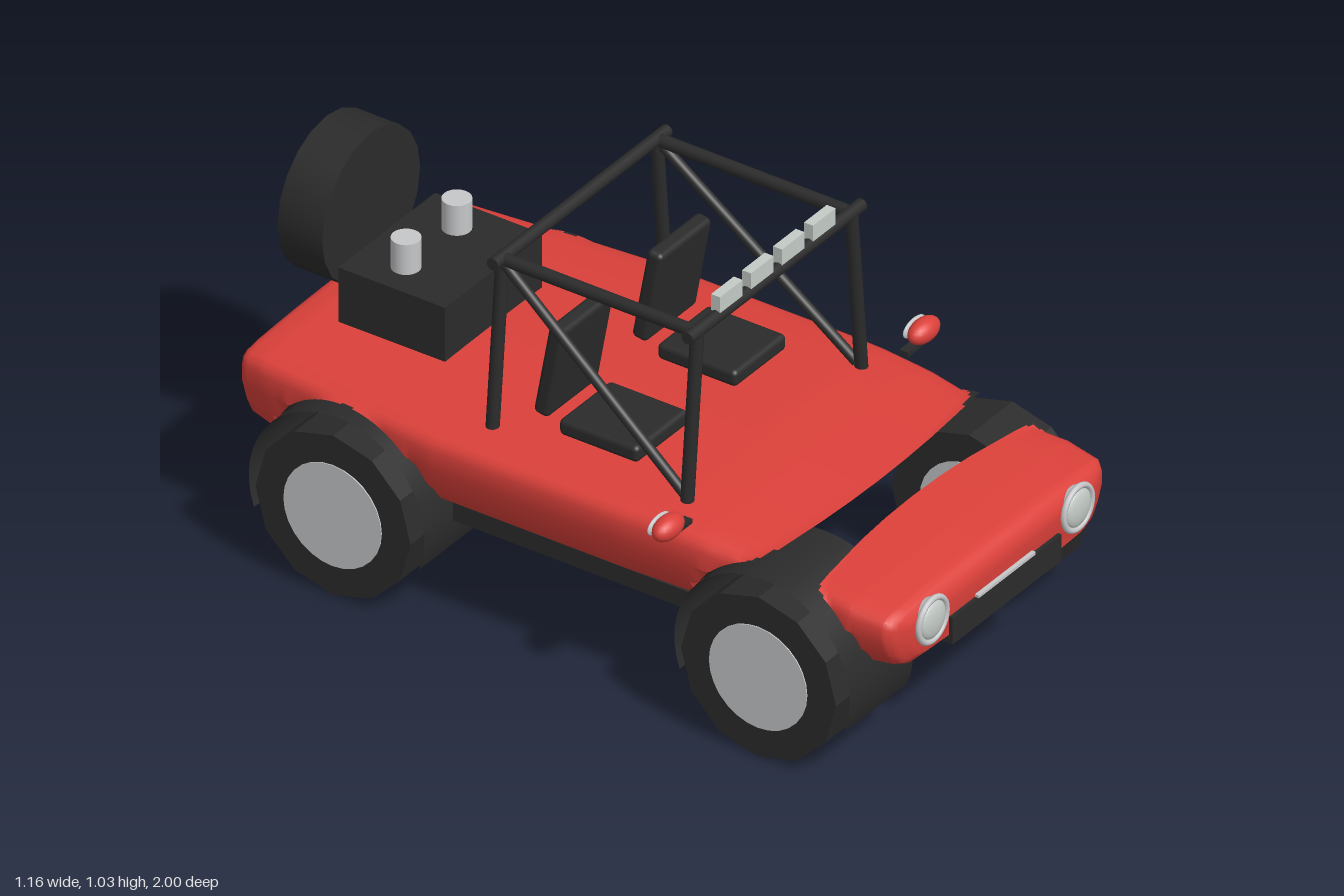
import * as THREE from 'three';
import { toCreasedNormals } from 'three/addons/utils/BufferGeometryUtils.js';
import { RoundedBoxGeometry } from 'three/addons/geometries/RoundedBoxGeometry.js';

const paint = (name, color, side = THREE.FrontSide) => {
  const m = new THREE.MeshStandardMaterial({ color, side });
  m.name = name;
  return m;
};

const FRONT = 0.638, REAR = -0.597, ARCH_Y = 0.24, ARCH_R = 0.26;

// Height of the wheel arch ceiling at a given z
const archY = z => Math.max(...[FRONT, REAR].map(c => {
  const d = Math.abs(z - c);
  return d < ARCH_R ? ARCH_Y + Math.sqrt(ARCH_R * ARCH_R - d * d) : -1;
}));

// Straight-line lookup in a list of [z, value] pairs
const along = (list, z) => {
  for (let i = 1; i < list.length; i++) {
    const [a, va] = list[i - 1], [b, vb] = list[i];
    if (z <= b) return va + (vb - va) * Math.max(0, (z - a) / (b - a));
  }
  return list[list.length - 1][1];
};

const WIDTH = [[-0.95, 0.38], [-0.935, 0.425], [-0.86, 0.44], [-0.6, 0.465], [-0.35, 0.485], [0.2, 0.485],
  [0.45, 0.475], [0.6, 0.455], [0.72, 0.447], [0.85, 0.46], [0.945, 0.448], [0.965, 0.43], [0.98, 0.38]];
const TOP = [[-0.95, 0.495], [-0.935, 0.517], [-0.88, 0.525], [0.3, 0.528], [0.42, 0.52], [0.62, 0.499],
  [0.715, 0.489], [0.85, 0.478], [0.945, 0.465], [0.965, 0.455], [0.98, 0.43]];
const BOTTOM = [[-0.95, 0.31], [-0.93, 0.295], [-0.85, 0.28], [-0.33, 0.29], [0.37, 0.29], [0.88, 0.28], [0.96, 0.29], [0.98, 0.31]];
// Half cross-section as fractions of width and height, from bottom centre to top centre
const HALF = [[0, 0], [0.45, 0.01], [0.84, 0.06], [0.91, 0.15], [0.96, 0.34], [1, 0.6], [1, 0.8],
  [0.985, 0.89], [0.95, 0.93], [0.85, 0.96], [0.5, 0.988], [0.25, 0.997], [0, 1]];

// Body shell lofted along z, cut by the wheel arches; group 0 is paint, group 1 underside
function shell(zStart, zEnd, steps, capStart, capEnd) {
  const ring = [...HALF, ...HALF.slice(1, -1).reverse().map(([x, y]) => [-x, y])];
  const n = ring.length, pos = [], clamped = [], painted = [], under = [];
  for (let i = 0; i <= steps; i++) for (const [fx, fy] of ring) {
    const s = Math.abs(fx), z = zStart(s) + (zEnd(s) - zStart(s)) * i / steps;
    const low = along(BOTTOM, z), y = low + (along(TOP, z) - low) * fy, cut = archY(z);
    clamped.push(y < cut);
    pos.push(fx * along(WIDTH, z), Math.max(y, cut), z);
  }
  for (let i = 0; i < steps; i++) for (let j = 0; j < n; j++) {
    const k = (j + 1) % n, a = i * n + j, b = i * n + k, c = b + n, d = a + n;
    const isUnder = j < 2 || j >= n - 2 || [a, b, c, d].every(v => clamped[v]);
    (isUnder ? under : painted).push(a, b, c, a, c, d);
  }
  const cap = (row, flip) => {
    const mid = pos.length / 3, z = pos[row * n * 3 + 2];
    pos.push(0, 0.4, z);
    for (let j = 0; j < n; j++) {
      const a = row * n + j, b = row * n + (j + 1) % n;
      painted.push(mid, flip ? b : a, flip ? a : b);
    }
  };
  if (capStart) cap(0, true);
  if (capEnd) cap(steps, false);
  const g = new THREE.BufferGeometry();
  g.setAttribute('position', new THREE.Float32BufferAttribute(pos, 3));
  g.setIndex([...painted, ...under]);
  g.addGroup(0, painted.length, 0);
  g.addGroup(painted.length, under.length, 1);
  return toCreasedNormals(g, 0.75);
}

export function createModel() {
  const red = paint('red paint', 0xdb403a), dark = paint('dark rubber', 0x2b2b2b);
  const lining = paint('arch lining', 0x2b2b2b, THREE.DoubleSide);
  const silver = paint('silver', 0xc6c7c9), lampGlass = paint('lamp glass', 0xc4cbc6);
  const model = new THREE.Group();
  const add = (name, geo, mat, x = 0, y = 0, z = 0, parent = model) => {
    const m = new THREE.Mesh(geo, mat);
    m.name = name;
    m.position.set(x, y, z);
    parent.add(m);
    return m;
  };
  const box = (w, h, d) => new THREE.BoxGeometry(w, h, d);
  const soft = (w, h, d) => new RoundedBoxGeometry(w, h, d, 3, 0.014);
  const bar = (name, a, b, r = 0.017) => {
    const p = new THREE.Vector3(...a), q = new THREE.Vector3(...b), dir = q.clone().sub(p);
    const m = add(name, new THREE.CylinderGeometry(r, r, dir.length(), 12), dark);
    m.position.copy(p).add(q).multiplyScalar(0.5);
    m.quaternion.setFromUnitVectors(new THREE.Vector3(0, 1, 0), dir.normalize());
  };

  // Body
  add('mainBody', shell(() => -0.95, s => 0.62 - 0.03 * s * s, 130, true, false), [red, dark]);
  add('nose', shell(s => 0.715 + 0.035 * s * s, () => 0.98, 40, false, true), [red, dark]);
  add('floorPan', box(0.82, 0.05, 0.71), dark, 0, 0.275, 0.025);
  add('frontSkid', box(0.78, 0.018, 0.08), dark, 0, 0.248, 0.84);
  add('rearSkid', box(0.78, 0.018, 0.09), dark, 0, 0.248, -0.845);
  add('frontBumper', box(0.45, 0.075, 0.05), dark, 0, 0.327, 0.965);
  add('frontPlate', box(0.235, 0.008, 0.05), silver, 0, 0.368, 0.966);

  // Wheels, with rims flush on both faces
  for (const z of [FRONT, REAR]) {
    for (const side of [1, -1]) {
      const wheel = new THREE.Group();
      wheel.name = 'wheel';
      wheel.position.set(side * 0.435, 0.226, z);
      model.add(wheel);
      const tyre = new THREE.CylinderGeometry(0.225, 0.225, 0.18, 12).rotateZ(Math.PI / 2).rotateX(Math.PI / 2);
      add('tyre', toCreasedNormals(tyre, 0.3), dark, 0, 0, 0, wheel);
      add('rim', new THREE.CylinderGeometry(0.142, 0.142, 0.186, 28).rotateZ(Math.PI / 2), silver, 0, 0, 0, wheel);
    }
    const arc = new THREE.CylinderGeometry(0.255, 0.255, 0.26, 28, 1, true, -0.35, Math.PI + 0.7).rotateZ(Math.PI / 2);
    add('archLiner', arc, lining, -0.38, ARCH_Y, z);
  }

  for (const s of [1, -1]) {
    // Headlights
    add('headlightBowl', new THREE.CylinderGeometry(0.062, 0.042, 0.05, 28).rotateX(Math.PI / 2), silver, s * 0.3, 0.398, 0.962);
    add('headlightRing', new THREE.TorusGeometry(0.058, 0.008, 8, 28), silver, s * 0.3, 0.398, 0.985);
    add('headlightLens', new THREE.SphereGeometry(0.05, 24, 12).scale(1, 1, 0.3), lampGlass, s * 0.3, 0.398, 0.985);

    // Mirrors
    add('mirrorShell', new THREE.SphereGeometry(1, 20, 14).scale(0.054, 0.031, 0.03), red, s * 0.528, 0.555, 0.378);
    add('mirrorGlass', new THREE.SphereGeometry(1, 20, 10).scale(0.046, 0.025, 0.008), silver, s * 0.528, 0.555, 0.35);
    add('mirrorArm', box(0.06, 0.012, 0.025), dark, s * 0.475, 0.533, 0.378);

    // Seats
    add('seatCushion', soft(0.215, 0.045, 0.23), dark, s * 0.203, 0.548, 0.02);
    add('seatBack', soft(0.215, 0.265, 0.045), dark, s * 0.203, 0.69, -0.125).rotation.x = 0.18;

    // Roll cage sides
    for (const [name, z] of [['frontCageLeg', 0.315], ['rearCageLeg', -0.25]])
      bar(name, [s * 0.36, 0.51, z], [s * 0.318, 0.972, z]);
    bar('cageSideRail', [s * 0.32, 0.972, 0.315], [s * 0.32, 0.972, -0.25]);
    bar('cageDiagonal', [s * 0.355, 0.53, 0.305], [s * 0.322, 0.965, -0.245], 0.014);

    // Tail lamps
    add('tailLampRecess', box(0.12, 0.055, 0.008), dark, s * 0.285, 0.435, -0.95);
    add('tailLamp', box(0.11, 0.038, 0.02), red, s * 0.285, 0.445, -0.955);

    // Engine stacks
    add('engineStack', new THREE.CylinderGeometry(0.037, 0.037, 0.09, 20), silver, s * 0.105, 0.715, -0.68);
  }

  // Roll cage cross bars and roof lamps
  for (const z of [0.315, -0.25]) bar('cageCrossBar', [-0.36, 0.975, z], [0.36, 0.975, z]);
  for (let i = 0; i < 4; i++)
    add('roofLamp', box(0.094, 0.045, 0.026), lampGlass, -0.193 + i * 0.128, 1.01, 0.313);

  // Rear deck
  add('engineBox', box(0.4, 0.16, 0.31), dark, 0, 0.596, -0.655);
  add('spareWheel', toCreasedNormals(new THREE.CylinderGeometry(0.202, 0.202, 0.13, 20).rotateX(Math.PI / 2), 0.6), dark, 0, 0.732, -0.92);
  add('rearPlate', box(0.24, 0.065, 0.008), silver, 0, 0.4, -0.953);

  // Exhaust
  add('exhaustPipe', new THREE.CylinderGeometry(0.018, 0.018, 0.12, 16).rotateX(Math.PI / 2), dark, 0.265, 0.295, -0.87);
  add('exhaustTip', new THREE.CylinderGeometry(0.022, 0.027, 0.11, 20).rotateX(Math.PI / 2), silver, 0.265, 0.295, -0.945);
  add('exhaustOpening', new THREE.CircleGeometry(0.019, 20).rotateY(Math.PI), dark, 0.265, 0.295, -1.001);
  return model;
}
